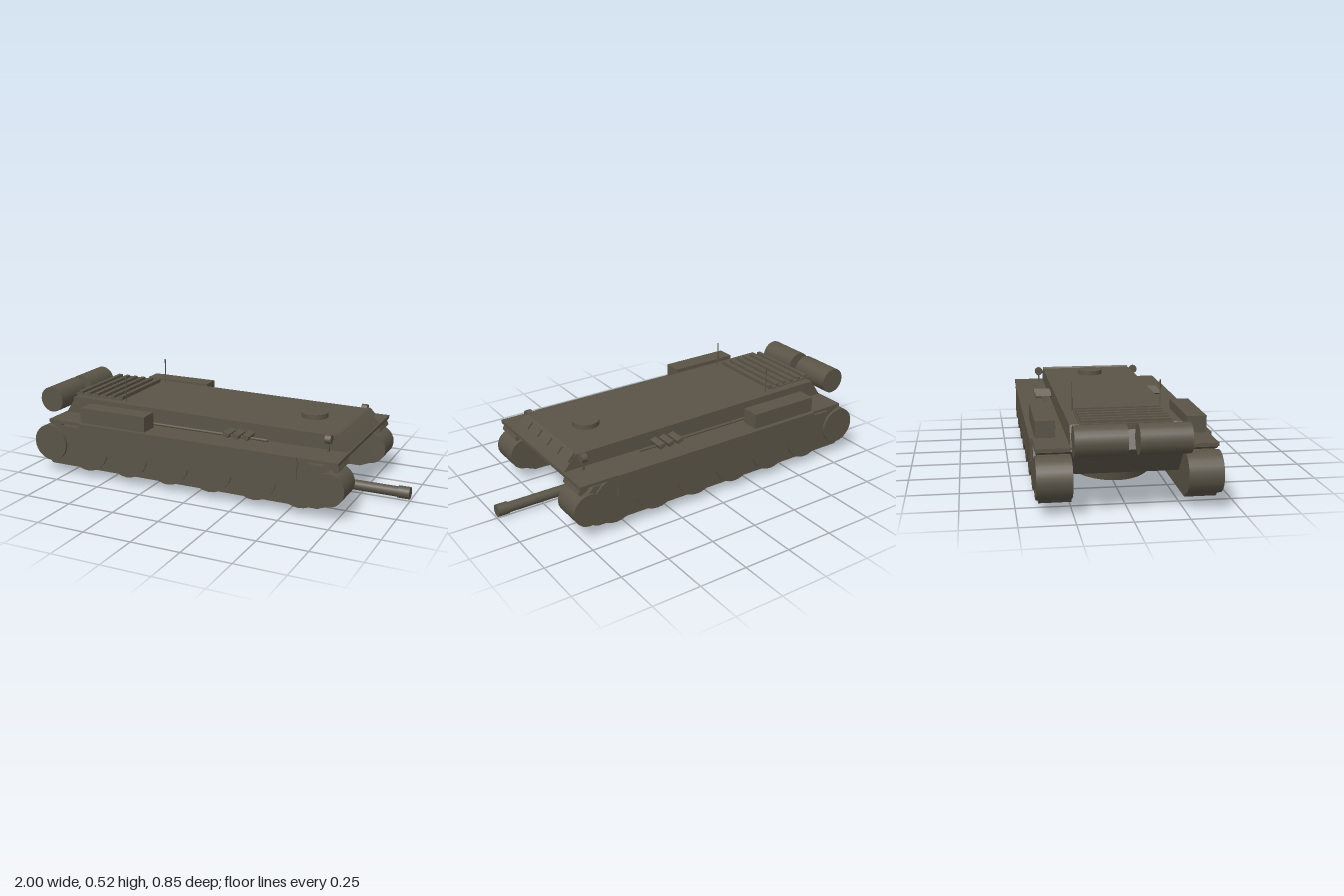
import * as THREE from 'three';

export function createModel() {
  const root = new THREE.Group();
  const olive = new THREE.MeshStandardMaterial({ color: 0x5a5447, flatShading: true });
  olive.name = 'olive drab';
  const smooth = new THREE.MeshStandardMaterial({ color: 0x5a5447 });
  smooth.name = 'olive drab smooth';

  function add(name, geo, x = 0, y = 0, z = 0, mat = olive) {
    const m = new THREE.Mesh(geo, mat);
    m.name = name;
    m.position.set(x, y, z);
    root.add(m);
    return m;
  }
  // box given by its ranges on each axis
  function box(name, x0, x1, y0, y1, z0, z1) {
    return add(name, new THREE.BoxGeometry(x1 - x0, y1 - y0, Math.abs(z1 - z0)),
      (x0 + x1) / 2, (y0 + y1) / 2, (z0 + z1) / 2);
  }
  // side profile in x,y extruded between two z values
  function slab(name, pts, z0, z1) {
    const shape = new THREE.Shape(pts.map(p => new THREE.Vector2(p[0], p[1])));
    const geo = new THREE.ExtrudeGeometry(shape, { depth: Math.abs(z1 - z0), bevelEnabled: false });
    return add(name, geo, 0, 0, Math.min(z0, z1));
  }
  // cylinder lying along z
  function drum(name, r, x, y, z0, z1, sides = 24) {
    const geo = new THREE.CylinderGeometry(r, r, Math.abs(z1 - z0), sides).rotateX(Math.PI / 2);
    return add(name, geo, x, y, (z0 + z1) / 2, smooth);
  }
  // cylinder lying along x
  function barrel(name, r, x0, x1, y, z, sides = 20) {
    const geo = new THREE.CylinderGeometry(r, r, x1 - x0, sides).rotateZ(-Math.PI / 2);
    return add(name, geo, (x0 + x1) / 2, y, z, smooth);
  }

  // hull
  slab('upperHull', [[-0.845, 0.28], [0.76, 0.28], [0.755, 0.295], [0.69, 0.37], [-0.775, 0.385]], -0.255, 0.255);
  slab('lowerHull', [[-0.72, 0.14], [0.58, 0.14], [0.74, 0.28], [-0.84, 0.28]], -0.255, 0.255);
  box('frontPlate', 0.56, 0.76, 0.282, 0.297, -0.42, 0.42);

  // spare links along the sloping nose
  for (let i = 0; i < 5; i++) {
    const link = add('spareLink', new THREE.BoxGeometry(0.042, 0.014, 0.092), 0.712, 0.356, (i - 2) * 0.104);
    link.rotation.z = -0.82;
  }
  const rail = add('noseRail', new THREE.BoxGeometry(0.016, 0.012, 0.5), 0.695, 0.371, 0);
  rail.rotation.z = -0.4;

  // engine grille
  box('grillePanel', -0.8, -0.52, 0.36, 0.39, -0.21, 0.21).rotation.z = -0.01;
  for (let i = 0; i < 6; i++) {
    const x = -0.775 + i * 0.05;
    box('grilleSlat', x - 0.011, x + 0.011, 0.385, 0.404, -0.205, 0.205);
  }

  // roof hatch
  add('hatch', new THREE.CylinderGeometry(0.068, 0.068, 0.026, 24), 0.49, 0.384, 0, smooth);

  for (const s of [-1, 1]) {
    // fender, flaps and skirt
    box('fender', -0.84, 0.76, 0.28, 0.296, s * 0.25, s * 0.412);
    box('fenderEdge', -0.65, 0.56, 0.28, 0.297, s * 0.41, s * 0.425);
    box('skirt', -0.65, 0.56, 0.187, 0.29, s * 0.414, s * 0.421);
    slab('frontFlap', [[0.7, 0.282], [0.715, 0.258], [0.75, 0.24], [0.762, 0.25], [0.75, 0.282]], s * 0.255, s * 0.405);
    slab('rearFlap', [[-0.845, 0.28], [-0.82, 0.265], [-0.77, 0.265], [-0.76, 0.282]], s * 0.255, s * 0.405);

    // track run with wheels
    slab('track', [[-0.84, 0.05], [0.66, 0.05], [0.72, 0.075], [0.74, 0.2], [0.68, 0.265],
      [-0.8, 0.265], [-0.88, 0.23], [-0.9, 0.12]], s * 0.255, s * 0.402);
    drum('idler', 0.083, 0.71, 0.155, s * 0.255, s * 0.415);
    drum('sprocket', 0.097, -0.838, 0.165, s * 0.255, s * 0.415);
    for (let i = 0; i < 6; i++) drum('roadWheel', 0.12, -0.61 + i * 0.236, 0.163, s * 0.262, s * 0.412, 28);

    // stowage box, rod and brackets
    box('stowageBox', -0.65, -0.27, 0.29, 0.376, s * 0.306, s * 0.4);
    barrel('towRod', 0.007, -0.53, 0.36, 0.313, s * 0.297, 8);
    for (let i = 0; i < 3; i++) {
      const b = box('rodBracket', 0.137 + i * 0.052, 0.169 + i * 0.052, 0.314, 0.336, s * 0.255, s * 0.34);
      b.rotation.z = -0.35;
    }

    // headlight on its stalk
    barrel('headlight', 0.022, 0.65, 0.68, 0.36, s * 0.283, 16);
    box('headlightStalk', 0.66, 0.67, 0.29, 0.345, s * 0.278, s * 0.288);

    // antenna and rear fuel drum
    add('antenna', new THREE.CylinderGeometry(0.003, 0.003, 0.15, 6), -0.485, 0.445, s * 0.212);
    drum('fuelDrum', 0.069, -0.931, 0.35, s * 0.025, s * 0.256);
    box('drumBracket', -0.9, -0.78, 0.33, 0.345, s * 0.12, s * 0.15);
    box('bellyBlock', 0.36, 0.42, 0.112, 0.145, s * 0.185, s * 0.21);
  }

  // oval turret body beneath the hull
  const turret = add('turret', new THREE.CylinderGeometry(1.07, 1, 0.115, 40), -0.1, 0.1, 0, smooth);
  turret.scale.set(0.43, 1, 0.235);
  box('mantlet', 0.25, 0.4, 0.066, 0.145, -0.095, 0.095);
  box('bellyStep', 0.38, 0.44, 0.115, 0.145, -0.125, -0.095);

  // gun slung under the turret
  barrel('gunTube', 0.026, 0.05, 0.96, 0.041, 0);
  barrel('gunBreech', 0.033, -0.04, 0.1, 0.042, 0);
  barrel('gunSleeve', 0.04, 0.33, 0.52, 0.04, 0);
  barrel('muzzle', 0.031, 0.94, 1, 0.042, 0);

  return root;
}
